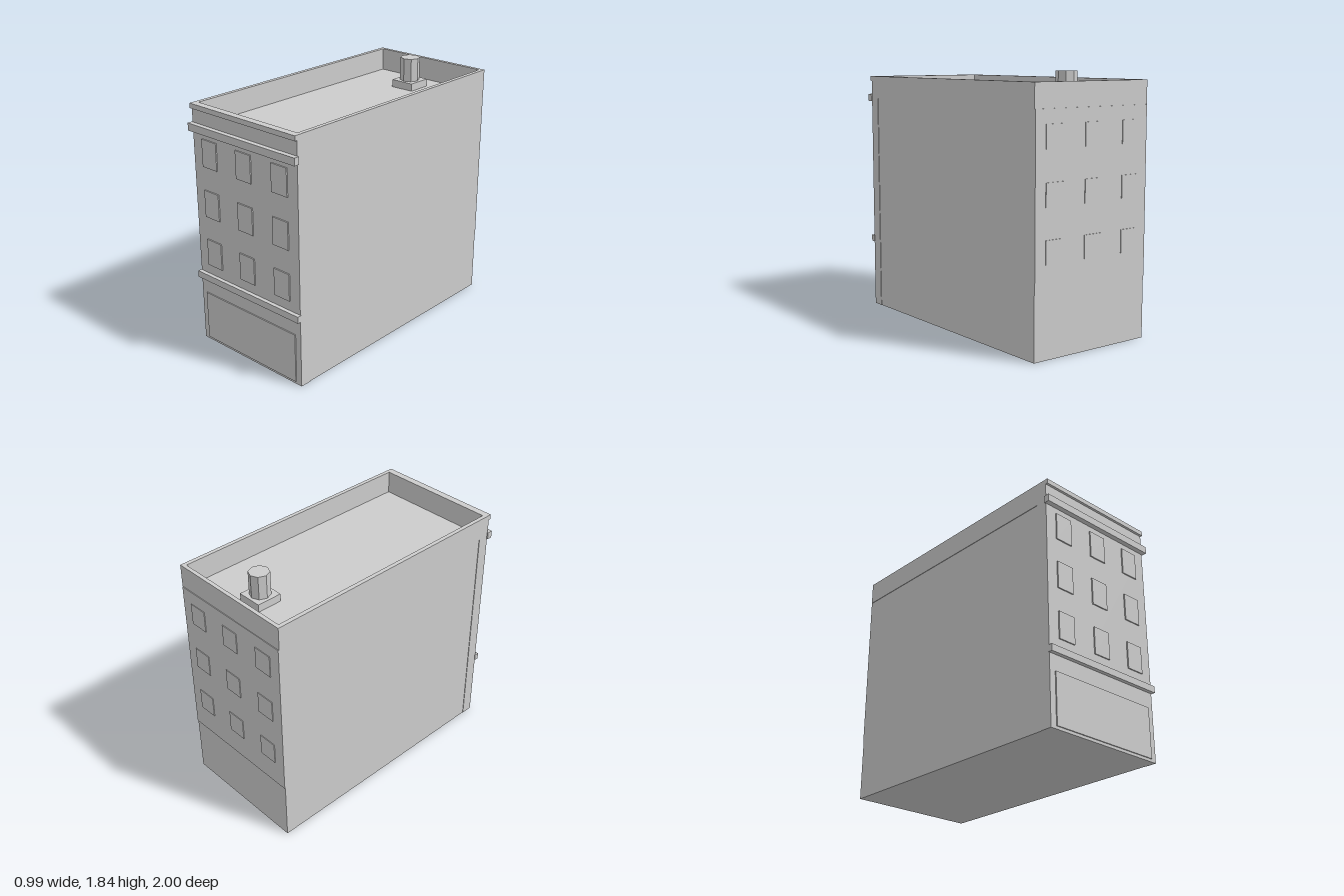
import * as THREE from 'three';

const plaster = new THREE.MeshStandardMaterial({ color: 0xcccccc });
plaster.name = 'light grey plaster';

export function createModel() {
  const building = new THREE.Group();
  building.name = 'building';

  // Box given by its lower and upper limits on each axis
  function block(name, [x0, x1], [y0, y1], [z0, z1]) {
    const geometry = new THREE.BoxGeometry(x1 - x0, y1 - y0, z1 - z0);
    const mesh = new THREE.Mesh(geometry, plaster);
    mesh.position.set((x0 + x1) / 2, (y0 + y1) / 2, (z0 + z1) / 2);
    mesh.name = name;
    building.add(mesh);
    return mesh;
  }

  const roofY = 1.61, topY = 1.775;
  const half = 0.487, back = -0.99, front = 0.965;

  // Main volume, with a slightly wider facade slab at the front
  block('body', [-0.483, 0.483], [0, roofY], [back, 0.88]);
  block('facade', [-half, half], [0, roofY], [0.88, front]);
  block('rearWallPanel', [-half + 0.004, half - 0.004], [0.44, roofY], [-0.995, back]);

  // Parapet: a rectangular ring around the flat roof
  const ring = new THREE.Shape([
    new THREE.Vector2(-half, -front), new THREE.Vector2(half, -front),
    new THREE.Vector2(half, -back), new THREE.Vector2(-half, -back),
  ]);
  ring.holes.push(new THREE.Path([
    new THREE.Vector2(-0.457, -0.93), new THREE.Vector2(-0.457, 0.962),
    new THREE.Vector2(0.457, 0.962), new THREE.Vector2(0.457, -0.93),
  ]));
  const parapetGeometry = new THREE.ExtrudeGeometry(ring, { depth: topY - roofY, bevelEnabled: false });
  parapetGeometry.rotateX(-Math.PI / 2);
  const parapet = new THREE.Mesh(parapetGeometry, plaster);
  parapet.name = 'parapet';
  parapet.position.y = roofY;
  building.add(parapet);
  block('parapetLip', [-half, half], [1.74, topY], [front, 0.982]);

  // Ledges across the front
  block('cornice', [-0.497, 0.497], [1.587, 1.64], [0.96, 1]);
  block('shopLedge', [-0.492, 0.492], [0.495, 0.543], [0.96, 0.994]);

  // Ground floor panel
  block('shopFront', [-0.44, 0.44], [0.02, 0.38], [front, 0.973]);

  // Windows: three floors of three, front and rear
  for (let floor = 0; floor < 3; floor++) {
    const y = 0.713 + floor * 0.366;
    for (const x of [-0.328, 0, 0.328]) {
      block('frontWindow', [x - 0.07, x + 0.07], [y - 0.098, y + 0.098], [front, 0.974]);
      block('rearWindow', [x - 0.07, x + 0.07], [y - 0.088, y + 0.07], [-1, -0.995]);
    }
  }

  // Octagonal chimney on a square base
  block('chimneyBase', [-0.092, 0.092], [roofY, 1.665], [-0.82, -0.636]);
  const stackGeometry = new THREE.CylinderGeometry(0.072, 0.072, 0.17, 8).toNonIndexed();
  stackGeometry.computeVertexNormals();
  const stack = new THREE.Mesh(stackGeometry, plaster);
  stack.name = 'chimneyStack';
  stack.position.set(0, 1.75, -0.728);
  building.add(stack);

  return building;
}
